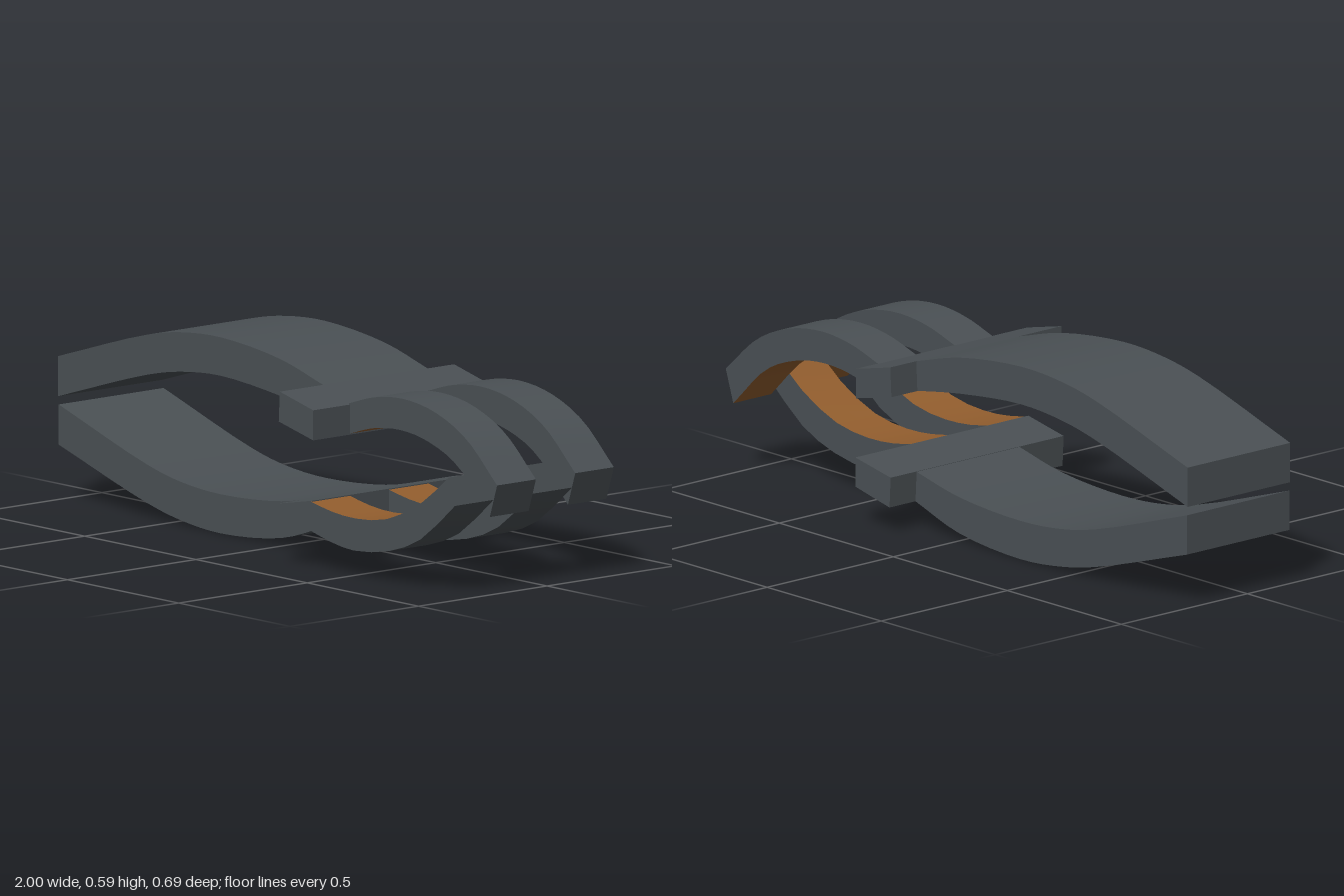
import * as THREE from 'three';
import { toCreasedNormals } from 'three/addons/utils/BufferGeometryUtils.js';

const plastic = new THREE.MeshStandardMaterial({ color: 0x4a5054 });
plastic.name = 'dark grey plastic';
const lining = new THREE.MeshStandardMaterial({ color: 0x935e2e });
lining.name = 'brown lining';

// Evenly resample a profile as a smooth curve
function smooth(points, segments) {
  const curve = new THREE.CatmullRomCurve3(points.map(([x, y]) => new THREE.Vector3(x, y, 0)));
  return Array.from({ length: segments + 1 }, (_, i) => curve.getPoint(i / segments));
}

// Curved slab between an upper and a lower profile, from z0 to z1
function ribbon(name, upper, lower, z0, z1, segments, topMat = plastic, bottomMat = plastic) {
  const u = smooth(upper, segments), l = smooth(lower, segments);
  const pos = [];
  const geo = new THREE.BufferGeometry();
  const quad = (...c) => {
    for (const k of [0, 1, 2, 0, 2, 3]) pos.push(c[k][0].x, c[k][0].y, c[k][1]);
  };
  const group = (material, build) => {
    const start = pos.length / 3;
    build();
    geo.addGroup(start, pos.length / 3 - start, material);
  };
  const each = (fn) => { for (let i = 0; i < segments; i++) fn(i, i + 1); };

  group(0, () => {
    each((a, b) => {
      quad([l[a], z1], [l[b], z1], [u[b], z1], [u[a], z1]);
      quad([l[b], z0], [l[a], z0], [u[a], z0], [u[b], z0]);
    });
    const n = segments;
    quad([l[n], z1], [l[n], z0], [u[n], z0], [u[n], z1]);
    quad([l[0], z0], [l[0], z1], [u[0], z1], [u[0], z0]);
  });
  group(1, () => each((a, b) => quad([u[a], z1], [u[b], z1], [u[b], z0], [u[a], z0])));
  group(2, () => each((a, b) => quad([l[a], z0], [l[b], z0], [l[b], z1], [l[a], z1])));

  geo.setAttribute('position', new THREE.Float32BufferAttribute(pos, 3));
  const mesh = new THREE.Mesh(toCreasedNormals(geo, 0.6), [plastic, topMat, bottomMat]);
  mesh.name = name;
  return mesh;
}

export function createModel() {
  const model = new THREE.Group();
  model.name = 'clawClip';
  const upperHalf = new THREE.Group();
  upperHalf.name = 'upperHalf';
  const lowerHalf = new THREE.Group();
  lowerHalf.name = 'lowerHalf';
  model.add(upperHalf, lowerHalf);

  // Handles
  upperHalf.add(ribbon('upperHandle',
    [[-1, 0.43], [-0.6, 0.55], [-0.45, 0.578], [-0.27, 0.588], [0, 0.56], [0.19, 0.51]],
    [[-1, 0.31], [-0.6, 0.43], [-0.45, 0.46], [-0.27, 0.473], [0, 0.45], [0.19, 0.42]],
    -0.237, 0.17, 20));
  lowerHalf.add(ribbon('lowerHandle',
    [[-1, 0.285], [-0.6, 0.16], [-0.45, 0.13], [-0.27, 0.118], [0, 0.135], [0.19, 0.175]],
    [[-1, 0.165], [-0.6, 0.045], [-0.45, 0.015], [-0.27, 0.001], [0, 0.025], [0.19, 0.083]],
    -0.24, 0.168, 20));

  // Crossbars carrying the claws
  upperHalf.add(ribbon('upperCrossbar',
    [[0.19, 0.51], [0.34, 0.475]], [[0.185, 0.42], [0.34, 0.385]], -0.34, 0.338, 1));
  lowerHalf.add(ribbon('lowerCrossbar',
    [[0.185, 0.175], [0.34, 0.205]], [[0.19, 0.083], [0.34, 0.116]], -0.343, 0.343, 1));

  // Upper claws, lined underneath
  for (const [z0, z1] of [[-0.26, -0.11], [0.043, 0.194]]) {
    upperHalf.add(ribbon('upperClaw',
      [[0.325, 0.475], [0.45, 0.512], [0.58, 0.525], [0.72, 0.505], [0.86, 0.445], [1, 0.325]],
      [[0.335, 0.387], [0.45, 0.42], [0.57, 0.43], [0.69, 0.413], [0.82, 0.36], [0.967, 0.226]],
      z0, z1, 18, plastic, lining));
  }

  // Lower claws, lined on top
  for (const [z0, z1] of [[-0.11, 0.043], [0.195, 0.345]]) {
    lowerHalf.add(ribbon('lowerClaw',
      [[0.335, 0.203], [0.43, 0.186], [0.54, 0.18], [0.68, 0.198], [0.83, 0.265], [0.957, 0.361]],
      [[0.325, 0.118], [0.43, 0.094], [0.53, 0.083], [0.69, 0.104], [0.83, 0.158], [0.985, 0.28]],
      z0, z1, 10, lining, plastic));
  }
  return model;
}
